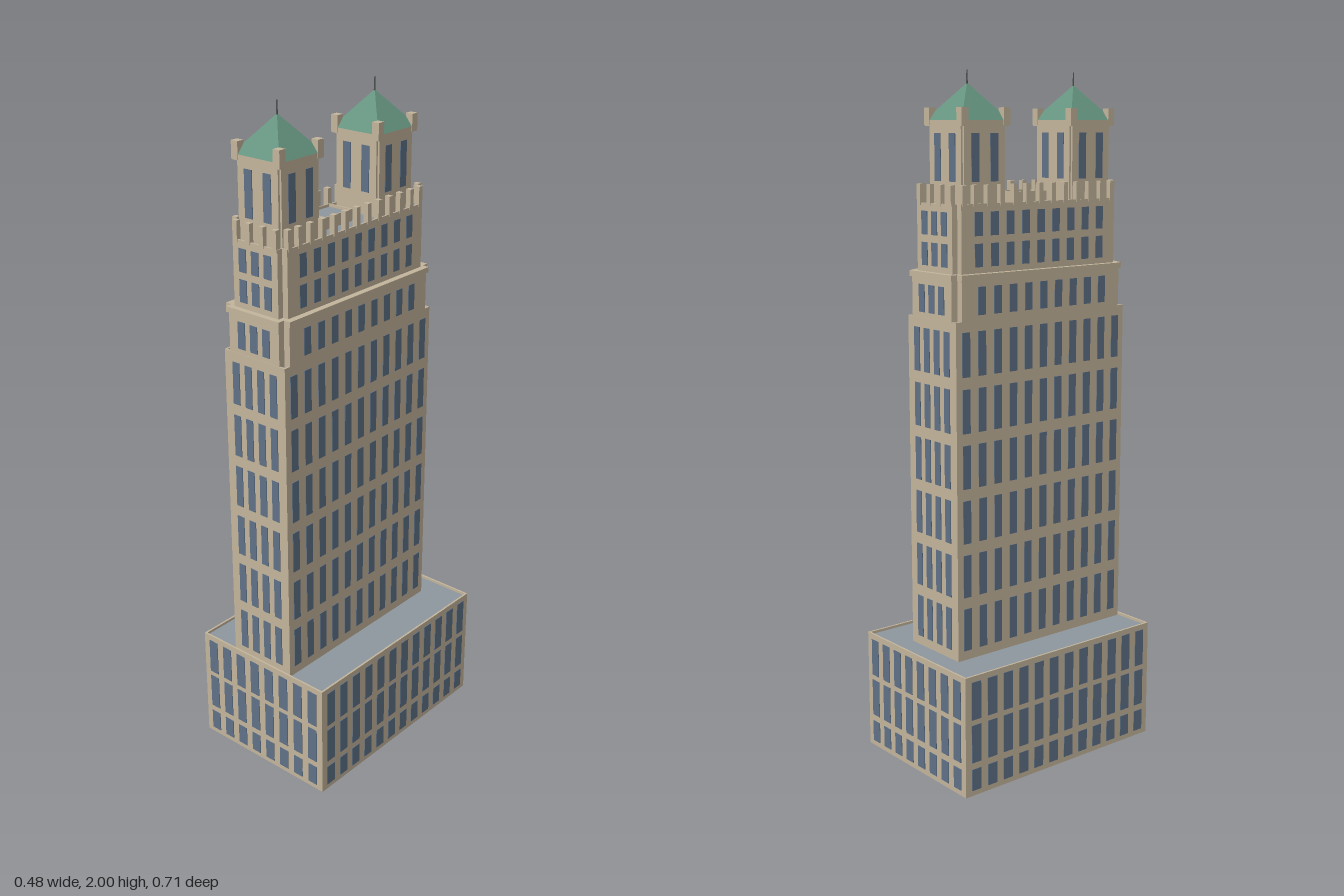
import * as THREE from 'three';
import { mergeGeometries } from 'three/addons/utils/BufferGeometryUtils.js';

const mat = (name, color) => new THREE.MeshStandardMaterial({ name, color });

export function createModel() {
  const root = new THREE.Group();
  root.name = 'twinTurretTower';
  const stone = mat('limestone', 0xc3b59c);
  const glass = mat('window blue', 0x5f7187);
  const slate = mat('roof grey', 0x8d969f);
  const copper = mat('copper green', 0x659480);
  const iron = mat('dark iron', 0x4c5450);

  const add = (parent, name, geo, material) => {
    const m = new THREE.Mesh(geo, material);
    m.name = name;
    parent.add(m);
    return m;
  };
  const box = (w, h, d, x, y, z) => new THREE.BoxGeometry(w, h, d).translate(x, y, z);

  // Rectangle plan, optionally with square notches cut out of its corners
  const plan = (hx, hz, n = 0) => {
    const pts = [];
    const corner = (sx, sz, flip) => {
      const c = n > 0
        ? [[sx * hx, sz * (hz - n)], [sx * (hx - n), sz * (hz - n)], [sx * (hx - n), sz * hz]]
        : [[sx * hx, sz * hz]];
      pts.push(...(flip ? c.reverse() : c));
    };
    corner(1, 1, false);
    corner(-1, 1, true);
    corner(-1, -1, false);
    corner(1, -1, true);
    return pts.map(([x, y]) => new THREE.Vector2(x, y));
  };
  const prism = (shape, y0, y1) => new THREE.ExtrudeGeometry(shape, { depth: y1 - y0, bevelEnabled: false })
    .rotateX(-Math.PI / 2).translate(0, y0, 0);

  // Hollow walls with a thin rim and a roof plate sunk just below it
  const tier = (name, { hx, hz, n = 0, y0, y1, rim = 0.006, drop = 0.008 }) => {
    const g = new THREE.Group();
    g.name = name;
    const ring = new THREE.Shape(plan(hx, hz, n));
    ring.holes.push(new THREE.Path(plan(hx - rim, hz - rim, n)));
    add(g, name + 'Walls', prism(ring, y0, y1), stone);
    const deck = new THREE.Shape(plan(hx - rim / 2, hz - rim / 2, n));
    add(g, name + 'Roof', prism(deck, y1 - drop - 0.005, y1 - drop), slate);
    root.add(g);
    return g;
  };

  // Rows of window plates on all four sides; rows are [bottom, top]
  const windows = (g, { hx, hz, rows, front, side }) => {
    const list = [];
    const t = 0.004;
    for (const [a, b] of rows) {
      const y = (a + b) / 2, h = b - a;
      for (const s of [-1, 1]) {
        for (let i = 0; i < front.count; i++) {
          const x = (i - (front.count - 1) / 2) * front.step;
          list.push(box(front.width, h, t, x, y, s * hz));
        }
        for (let i = 0; i < side.count; i++) {
          const z = (i - (side.count - 1) / 2) * side.step;
          list.push(box(t, h, side.width, s * hx, y, z));
        }
      }
    }
    add(g, g.name + 'Windows', mergeGeometries(list), glass);
  };

  // Open-bottomed base block
  const base = tier('base', { hx: 0.239, hz: 0.354, y0: 0, y1: 0.357 });
  windows(base, {
    hx: 0.239, hz: 0.354, rows: [[0.016, 0.08], [0.1, 0.212], [0.228, 0.34]],
    front: { count: 8, step: 0.0575, width: 0.033 }, side: { count: 12, step: 0.0575, width: 0.033 },
  });

  const cx = -0.002, cz = 0.033;
  const place = (g) => { g.position.set(cx, 0, cz); return g; };

  // Tall shaft
  const shaft = place(tier('shaft', { hx: 0.111, hz: 0.314, y0: 0.345, y1: 1.325, drop: 0.005 }));
  const shaftRows = [];
  for (let i = 0; i < 6; i++) shaftRows.push([0.377 + i * 0.1588, 0.502 + i * 0.1588]);
  windows(shaft, {
    hx: 0.111, hz: 0.314, rows: shaftRows,
    front: { count: 4, step: 0.046, width: 0.025 }, side: { count: 11, step: 0.056, width: 0.027 },
  });

  // Notched stage and its cornice
  const upperFront = { count: 3, step: 0.045, width: 0.026 };
  const upperSide = { count: 9, step: 0.056, width: 0.027 };
  const middle = place(tier('middleStage', { hx: 0.111, hz: 0.313, n: 0.02, y0: 1.31, y1: 1.44 }));
  windows(middle, { hx: 0.111, hz: 0.313, rows: [[1.34, 1.418]], front: upperFront, side: upperSide });
  add(middle, 'cornice', prism(new THREE.Shape(plan(0.117, 0.318, 0.021)), 1.437, 1.453), stone);

  // Top stage with battlements
  const top = place(tier('topStage', { hx: 0.098, hz: 0.301, n: 0.018, y0: 1.45, y1: 1.642, rim: 0.005 }));
  windows(top, {
    hx: 0.098, hz: 0.301, rows: [[1.47, 1.534], [1.555, 1.62]], front: upperFront, side: upperSide,
  });
  const merlons = [];
  for (const s of [-1, 1]) {
    for (const x of [-0.07, -0.024, 0.024, 0.07]) merlons.push(box(0.016, 0.058, 0.014, x, 1.664, s * 0.296));
    for (const z of [-0.273, -0.233, -0.187, -0.14, -0.093, -0.047, 0, 0.047, 0.093, 0.14, 0.187, 0.233, 0.273]) {
      merlons.push(box(0.016, 0.058, 0.015, s * 0.092, 1.664, z));
    }
  }
  add(top, 'merlons', mergeGeometries(merlons), stone);

  // Low plant room between the turrets
  const plant = tier('plantRoom', { hx: 0.042, hz: 0.056, y0: 1.63, y1: 1.668, rim: 0.004 });
  plant.position.set(-0.002, 0, 0.047);

  // Twin turrets with pyramid roofs
  for (const [name, z] of [['frontTurret', 0.24], ['backTurret', -0.152]]) {
    const t = tier(name, { hx: 0.077, hz: 0.077, n: 0.006, y0: 1.63, y1: 1.855 });
    t.position.set(cx, 0, z);
    windows(t, {
      hx: 0.077, hz: 0.077, rows: [[1.7, 1.83]],
      front: { count: 2, step: 0.066, width: 0.027 }, side: { count: 2, step: 0.066, width: 0.027 },
    });
    add(t, 'eaves', box(0.166, 0.016, 0.166, 0, 1.857, 0), stone);
    const posts = [];
    for (const sx of [-1, 1]) for (const sz of [-1, 1]) posts.push(box(0.023, 0.048, 0.023, sx * 0.073, 1.875, sz * 0.073));
    add(t, 'cornerPosts', mergeGeometries(posts), stone);
    const pyramid = new THREE.ConeGeometry(0.083 * Math.SQRT2, 0.1, 4, 1).rotateY(Math.PI / 4).toNonIndexed();
    pyramid.computeVertexNormals();
    add(t, 'pyramidRoof', pyramid.translate(0, 1.915, 0), copper);
    add(t, 'spire', new THREE.CylinderGeometry(0.0015, 0.003, 0.045, 6).translate(0, 1.9775, 0), iron);
  }
  return root;
}
